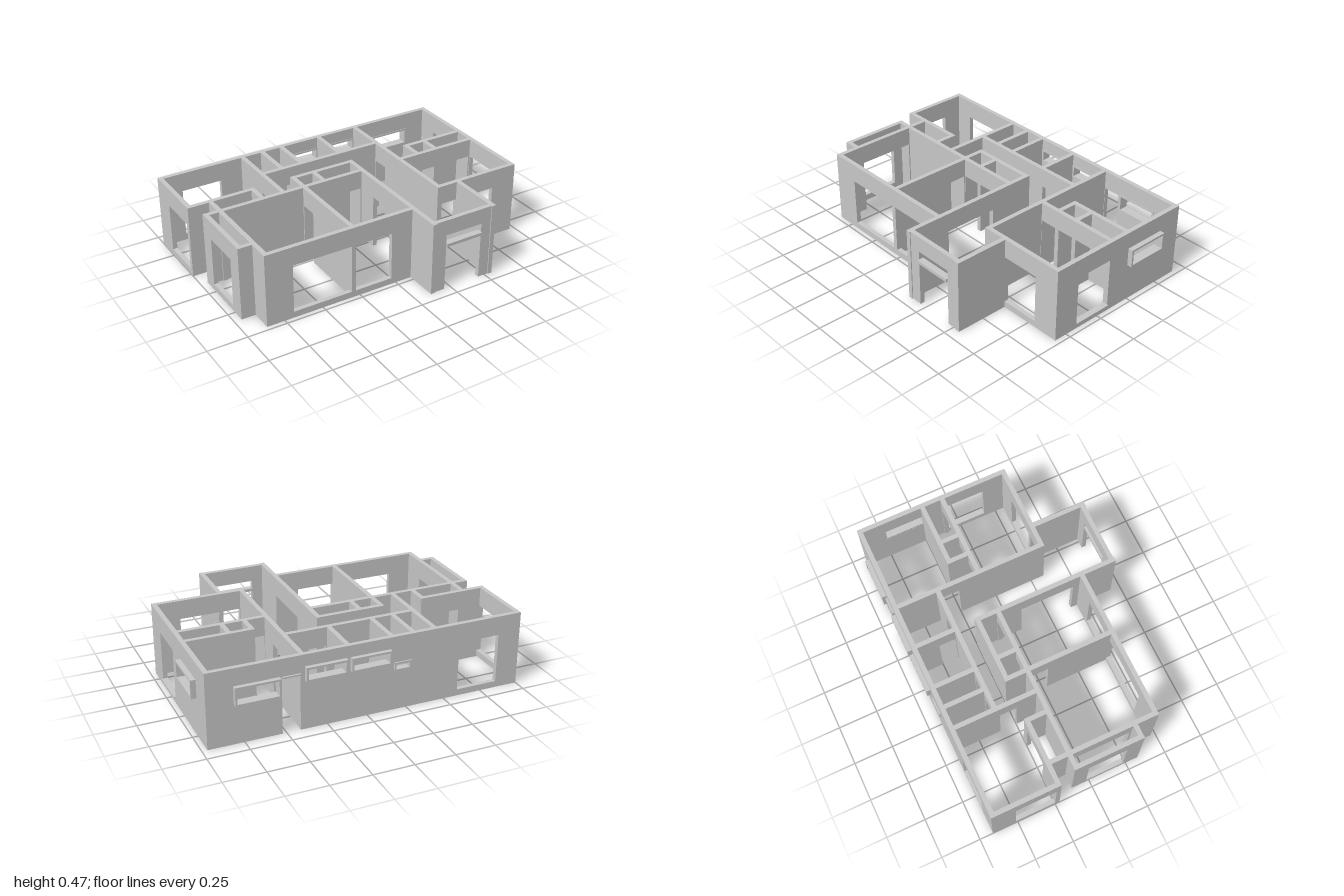
import * as THREE from 'three';

const H = 0.468, T = 0.029, DOOR = 0.348, SILL = 0.04;
const plaster = new THREE.MeshStandardMaterial({ color: 0xc6c6c6 });
plaster.name = 'grey plaster';

export function createModel() {
  const model = new THREE.Group();
  model.name = 'houseWalls';

  const add = (geo, name) => {
    const mesh = new THREE.Mesh(geo, plaster);
    mesh.name = name;
    model.add(mesh);
  };

  // box given by its limits
  const box = (name, x0, x1, y0, y1, z0, z1) => {
    const geo = new THREE.BoxGeometry(x1 - x0, y1 - y0, z1 - z0);
    add(geo.translate((x0 + x1) / 2, (y0 + y1) / 2, (z0 + z1) / 2), name);
  };

  // wall along 'x' or 'z' at centre c; openings are [from, to, top, bottom]
  const wall = (axis, c, a, b, openings = [], name = 'innerWall') => {
    const s = new THREE.Shape();
    s.moveTo(a, 0);
    for (const [p, q, top = DOOR, bottom = 0] of openings) {
      if (bottom > 0) {
        const hole = new THREE.Path();
        hole.moveTo(p, bottom).lineTo(p, top).lineTo(q, top).lineTo(q, bottom).closePath();
        s.holes.push(hole);
      } else {
        s.lineTo(p, 0).lineTo(p, top).lineTo(q, top).lineTo(q, 0);
      }
    }
    s.lineTo(b, 0).lineTo(b, H).lineTo(a, H).closePath();
    const geo = new THREE.ExtrudeGeometry(s, { depth: T, bevelEnabled: false });
    geo.translate(0, 0, -T / 2);
    if (axis === 'z') geo.rotateY(-Math.PI / 2).translate(c, 0, 0);
    else geo.translate(0, 0, c);
    add(geo, name);
  };

  // low sill across the foot of a wide opening
  const sill = (axis, c, a, b) => {
    if (axis === 'x') box('doorSill', a, b, 0, SILL, c - T / 2, c + T / 2);
    else box('doorSill', c - T / 2, c + T / 2, 0, SILL, a, b);
  };

  // projecting window surround, f thick, spanning lo..hi through the wall
  const surround = (axis, lo, hi, a, b, y0, y1, f = 0.012) => {
    const parts = [[a, b, y0, y0 + f], [a, b, y1 - f, y1], [a, a + f, y0, y1], [b - f, b, y0, y1]];
    for (const [p, q, u, v] of parts) {
      if (axis === 'x') box('windowSurround', p, q, u, v, lo, hi);
      else box('windowSurround', lo, hi, u, v, p, q);
    }
  };

  // back wall, with its high windows, side door and wide opening
  const backWindows = [
    [-0.275, -0.165, 0.305, 0.25, -0.673],
    [-0.14, 0.11, 0.395, 0.308, -0.69],
    [0.135, 0.387, 0.395, 0.308, -0.692],
    [0.537, 0.807, 0.36, 0.245, -0.692],
  ];
  wall('x', -0.65, -1, 0.968,
    [[-0.855, -0.59], ...backWindows.slice(0, 3), [0.415, 0.525], backWindows[3]], 'backWall');
  for (const [a, b, top, bottom, out] of backWindows) surround('x', out, -0.632, a, b, bottom, top);
  sill('x', -0.65, -0.855, -0.59);
  box('doorLintel', 0.415, 0.525, DOOR, 0.358, -0.676, -0.64);

  // right wall, with a thin nosing on its sill
  wall('z', 0.9535, -0.664, 0.336, [[-0.51, -0.235, 0.36, 0.245], [-0.083, 0.17]], 'rightWall');
  surround('z', 0.94, 1, -0.51, -0.235, 0.245, 0.36);
  sill('z', 0.9535, -0.083, 0.17);
  box('sillNosing', 0.96, 0.978, 0.034, SILL, -0.083, 0.17);

  // left walls and bay
  wall('z', -0.9855, -0.664, -0.222, [[-0.51, -0.24]], 'leftWall');
  sill('z', -0.9855, -0.51, -0.24);
  wall('z', -0.94, -0.117, 0.332, [[-0.02, 0.23]], 'bayWall');
  sill('z', -0.94, -0.02, 0.23);
  wall('x', 0.318, -0.9545, -0.85, [], 'bayEnd');

  // front walls
  wall('x', 0.457, -0.865, 0.13, [[-0.69, -0.307], [-0.28, -0.032]], 'frontWall');
  sill('x', 0.457, -0.69, -0.307);
  sill('x', 0.457, -0.28, -0.032);
  wall('x', 0.3215, 0.385, 0.968, [[0.415, 0.525], [0.55, 0.8]], 'frontRightWall');
  sill('x', 0.3215, 0.55, 0.8);

  // entrance porch with transom bar
  wall('x', 0.665, 0.107, 0.55, [[0.205, 0.455, 0.368]], 'entranceWall');
  box('transomBar', 0.205, 0.455, 0.295, 0.315, 0.65, 0.692);
  wall('z', 0.537, 0.31, 0.685, [], 'entranceSide');
  wall('z', 0.121, -0.251, 0.685, [[0.05, 0.4]], 'entranceSide');

  // inner walls across
  wall('x', -0.376, -0.445, 0.412, [[-0.41, -0.32], [-0.27, -0.18], [0.14, 0.25]]);
  wall('x', -0.236, -1, -0.557, [[-0.82, -0.6]]);
  wall('x', -0.236, -0.306, 0.135);
  wall('x', -0.236, 0.523, 0.968);
  wall('x', -0.102, -0.9545, 0.135, [[-0.275, 0.1]]);
  wall('x', -0.102, 0.385, 0.968, [[0.415, 0.525], [0.555, 0.93]]);

  // inner walls front to back
  wall('z', -0.431, -0.66, -0.09, [[-0.355, -0.245]]);
  for (const x of [-0.292, -0.155]) wall('z', x, -0.66, -0.37);
  wall('z', 0.12, -0.66, -0.37, [[-0.5, -0.395]]);
  wall('z', 0.398, -0.66, 0.336, [[-0.355, -0.245]]);
  wall('z', -0.85, -0.23, 0.4715, [[-0.08, 0.29]]);
  wall('z', -0.292, -0.251, 0.4715, [[-0.08, 0.03]]);
  for (const x of [-0.57, -0.15, 0.537, 0.675]) wall('z', x, -0.245, -0.09);

  return model;
}
